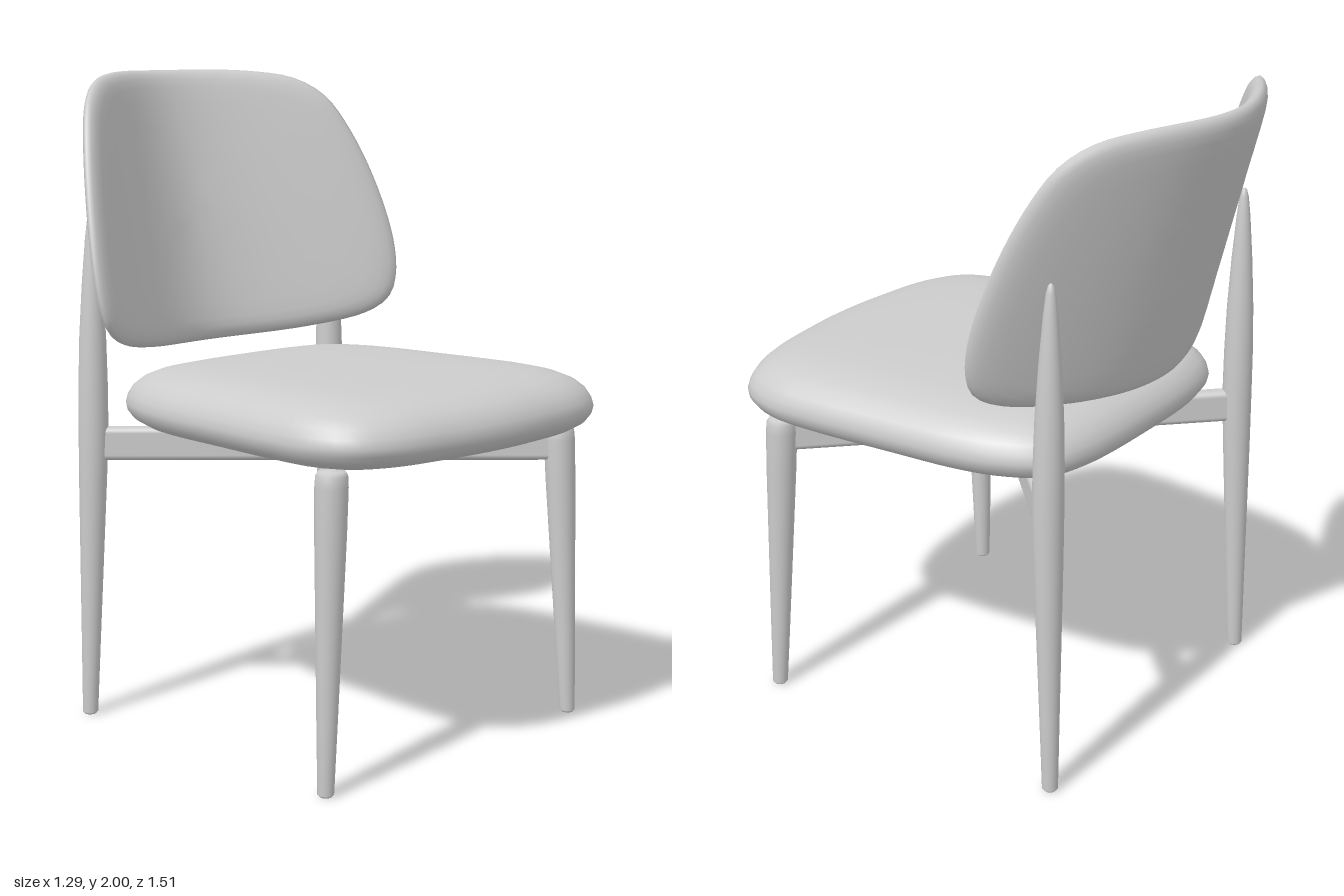
import * as THREE from 'three';
import { RoundedBoxGeometry } from 'three/addons/geometries/RoundedBoxGeometry.js';

// Mirrors half an outline (x >= 0, first and last point on the axis) into a smooth closed loop
function symmetricOutline(half, count) {
  const mirrored = half.slice(1, -1).reverse().map(([x, y]) => [-x, y]);
  const pts = [...half, ...mirrored].map(([x, y]) => new THREE.Vector3(x, y, 0));
  return new THREE.CatmullRomCurve3(pts, true, 'centripetal').getSpacedPoints(count).slice(0, count);
}

// Upholstered pad: the outline scaled about a centre into rings [scale, height], then placed by a rule
function padGeometry(half, centreV, rings, place) {
  const n = 112, last = rings.length - 1;
  const outline = symmetricOutline(half, n);
  const positions = [], index = [];
  for (const [s, h] of rings) {
    for (const p of outline) positions.push(...place(p.x * s, centreV + (p.y - centreV) * s, h));
  }
  // Each end ring collapses to one shared vertex
  const id = (i, j) => (i === 0 ? 0 : i === last ? last * n : i * n + (j % n));
  for (let i = 0; i < last; i++) {
    for (let j = 0; j < n; j++) {
      const a = id(i, j), b = id(i, j + 1), c = id(i + 1, j), d = id(i + 1, j + 1);
      if (i > 0) index.push(a, b, c);
      if (i < last - 1) index.push(b, d, c);
    }
  }
  const g = new THREE.BufferGeometry();
  g.setAttribute('position', new THREE.Float32BufferAttribute(positions, 3));
  g.setIndex(index);
  g.computeVertexNormals();
  return g;
}

// Turned leg: lathe profile [radius, y] whose centre follows a path of [x, y, z] points
function legGeometry(profile, path, side) {
  const g = new THREE.LatheGeometry(profile.map(([r, y]) => new THREE.Vector2(r, y)), 28);
  const pos = g.attributes.position;
  for (let i = 0; i < pos.count; i++) {
    const y = pos.getY(i);
    let k = 0;
    while (k < path.length - 2 && y > path[k + 1][1]) k++;
    const [a, b] = [path[k], path[k + 1]];
    const t = (y - a[1]) / (b[1] - a[1]);
    pos.setX(i, pos.getX(i) + side * (a[0] + (b[0] - a[0]) * t));
    pos.setZ(i, pos.getZ(i) + a[2] + (b[2] - a[2]) * t);
  }
  return g;
}

export function createModel() {
  const chair = new THREE.Group();
  chair.name = 'chair';
  const grey = new THREE.MeshStandardMaterial({ color: 0xcccccc });
  grey.name = 'light grey';
  const add = (name, geometry) => {
    const mesh = new THREE.Mesh(geometry, grey);
    mesh.name = name;
    chair.add(mesh);
    return mesh;
  };

  // Seat cushion: outline runs from the back to the front, as [x, -z]
  const seatHalf = [
    [0, 0.48], [0.3, 0.465], [0.43, 0.42], [0.505, 0.3], [0.542, 0.16], [0.568, -0.1],
    [0.59, -0.38], [0.587, -0.52], [0.535, -0.64], [0.41, -0.712], [0.2, -0.747], [0, -0.759],
  ];
  const seatRings = [
    [0, 1.125], [0.25, 1.125], [0.5, 1.123], [0.65, 1.118], [0.76, 1.11], [0.85, 1.097], [0.92, 1.077],
    [0.965, 1.052], [0.99, 1.025], [1, 1], [0.993, 0.978], [0.968, 0.955], [0.92, 0.937], [0.85, 0.925],
    [0.77, 0.92], [0.4, 0.92], [0, 0.92],
  ];
  add('seat', padGeometry(seatHalf, -0.14, seatRings, (u, v, h) => [u, h, -v]));

  // Backrest: leaning panel, wrapped forward at both sides and a little more towards the top
  const backHalf = [
    [0, 1.997], [0.3, 1.992], [0.43, 1.968], [0.505, 1.915], [0.555, 1.825], [0.613, 1.64], [0.645, 1.43],
    [0.636, 1.31], [0.606, 1.243], [0.537, 1.197], [0.34, 1.157], [0, 1.14],
  ];
  const frontRings = [
    [0, 0.031], [0.15, 0.031], [0.3, 0.031], [0.45, 0.031], [0.6, 0.031], [0.75, 0.031], [0.86, 0.03],
    [0.92, 0.027], [0.96, 0.021], [0.987, 0.012],
  ];
  const backRings = frontRings.map(([s, h]) => [s, -h]).reverse();
  const lean = 0.285, bend = 0.3;
  add('backrest', padGeometry(backHalf, 1.55, [...frontRings, [1, 0], ...backRings], (x, y, h) => {
    const wrap = 0.194 * (1 + 0.3 * (y - 1.28));
    const root = Math.hypot(1, x / bend);
    const z = -0.495 + wrap * (root - 1) - lean * (y - 1.15);
    const normal = new THREE.Vector3((-wrap * x) / (bend * bend * root), lean, 1).normalize();
    return [x + normal.x * h, y + normal.y * h, z + normal.z * h];
  }));

  // Legs, tapered to the floor; the back pair rises to points behind the backrest
  const frontProfile = [
    [0, 0], [0.018, 0], [0.024, 0.007], [0.03, 0.2], [0.046, 0.75], [0.048, 0.88], [0.046, 0.912],
    [0.038, 0.925], [0, 0.93],
  ];
  const backProfile = [
    [0, 0], [0.018, 0], [0.024, 0.007], [0.03, 0.25], [0.043, 0.75], [0.046, 0.9], [0.045, 1.05],
    [0.041, 1.2], [0.032, 1.36], [0.021, 1.5], [0.014, 1.56], [0.008, 1.583], [0, 1.59],
  ];
  for (const side of [1, -1]) {
    const label = side > 0 ? 'Left' : 'Right';
    add('frontLeg' + label, legGeometry(frontProfile, [[0.544, 0, 0.558], [0.5, 0.93, 0.538]], side));
    add('backLeg' + label,
      legGeometry(backProfile, [[0.532, 0, -0.498], [0.518, 0.9, -0.475], [0.51, 1.6, -0.475]], side));

    // Crossed rails joining opposite legs under the seat
    const from = new THREE.Vector3(side * 0.5, 0.868, 0.54);
    const to = new THREE.Vector3(-side * 0.518, 0.868, -0.475);
    const rail = add('crossRail' + label, new RoundedBoxGeometry(0.05, 0.104, from.distanceTo(to), 4, 0.018));
    rail.position.copy(from).lerp(to, 0.5);
    rail.lookAt(to);
  }
  return chair;
}
